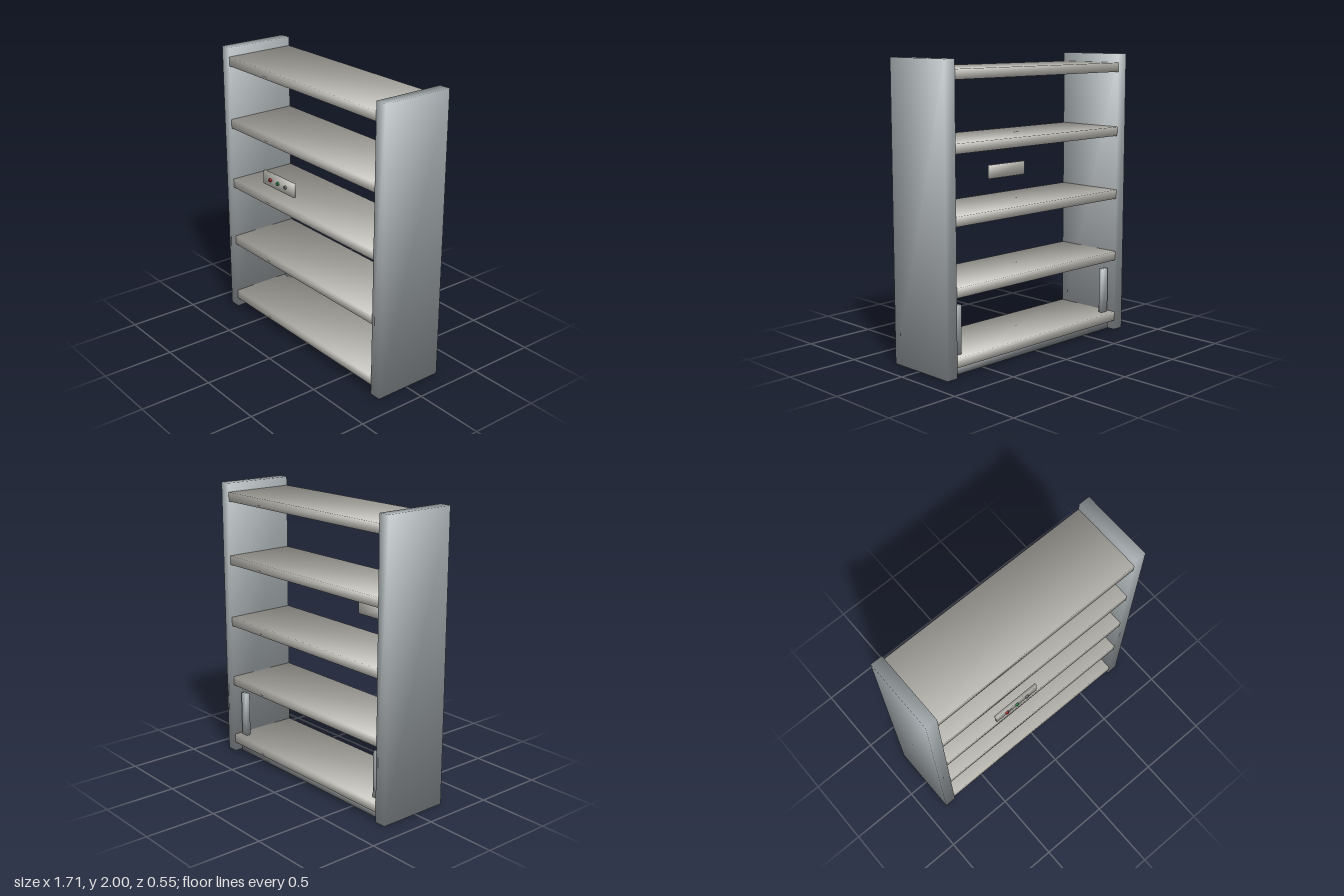
import * as THREE from 'three';

export function createModel() {
  const group = new THREE.Group();
  const mat = (color) => new THREE.MeshStandardMaterial({ color });
  const sideMat = mat(0xa2a9ac), shelfMat = mat(0xbab8b1), plinthMat = mat(0x74797c);

  // Box given by its minimum and maximum corners, shaded smoothly across its edges
  function box(name, [x0, y0, z0], [x1, y1, z1], material) {
    const geometry = new THREE.BoxGeometry(x1 - x0, y1 - y0, z1 - z0);
    const { position, normal } = geometry.attributes;
    const n = new THREE.Vector3();
    for (let i = 0; i < position.count; i++) {
      n.set(Math.sign(position.getX(i)), Math.sign(position.getY(i)), Math.sign(position.getZ(i))).normalize();
      normal.setXYZ(i, n.x, n.y, n.z);
    }
    const mesh = new THREE.Mesh(geometry, material);
    mesh.position.set((x0 + x1) / 2, (y0 + y1) / 2, (z0 + z1) / 2);
    mesh.name = name;
    group.add(mesh);
  }

  const back = -0.275, front = 0.238, inner = 0.772, outer = 0.855;

  // Side panels and the short rear posts beside them
  box('leftSidePanel', [inner, 0, back], [outer, 2, front], sideMat);
  box('rightSidePanel', [-outer, 0, back], [-inner, 2, front], sideMat);
  box('leftPost', [0.69, 0.13, -0.225], [0.75, 0.455, -0.195], sideMat);
  box('rightPost', [-0.75, 0.13, -0.225], [-0.69, 0.455, -0.195], sideMat);

  // Five evenly spaced shelves
  for (let i = 0; i < 5; i++) {
    const y = 0.068 + i * 0.4515;
    box(`shelf${i + 1}`, [-inner, y, back], [inner, y + 0.064, front], shelfMat);
  }

  // Rail under the bottom shelf, near the back
  box('plinthRail', [-0.735, 0.012, -0.245], [0.735, 0.068, -0.205], plinthMat);

  // Control plate with three round buttons
  box('controlPlate', [-0.36, 1.138, 0.242], [-0.015, 1.234, 0.262], shelfMat);
  [0xb03030, 0x2f8a4a, 0x707880].forEach((color, i) => {
    const button = new THREE.Mesh(new THREE.CylinderGeometry(0.012, 0.012, 0.017, 16), mat(color));
    button.rotation.x = Math.PI / 2;
    button.position.set(-0.273 + i * 0.085, 1.187, 0.2665);
    button.name = `button${i + 1}`;
    group.add(button);
  });

  return group;
}
